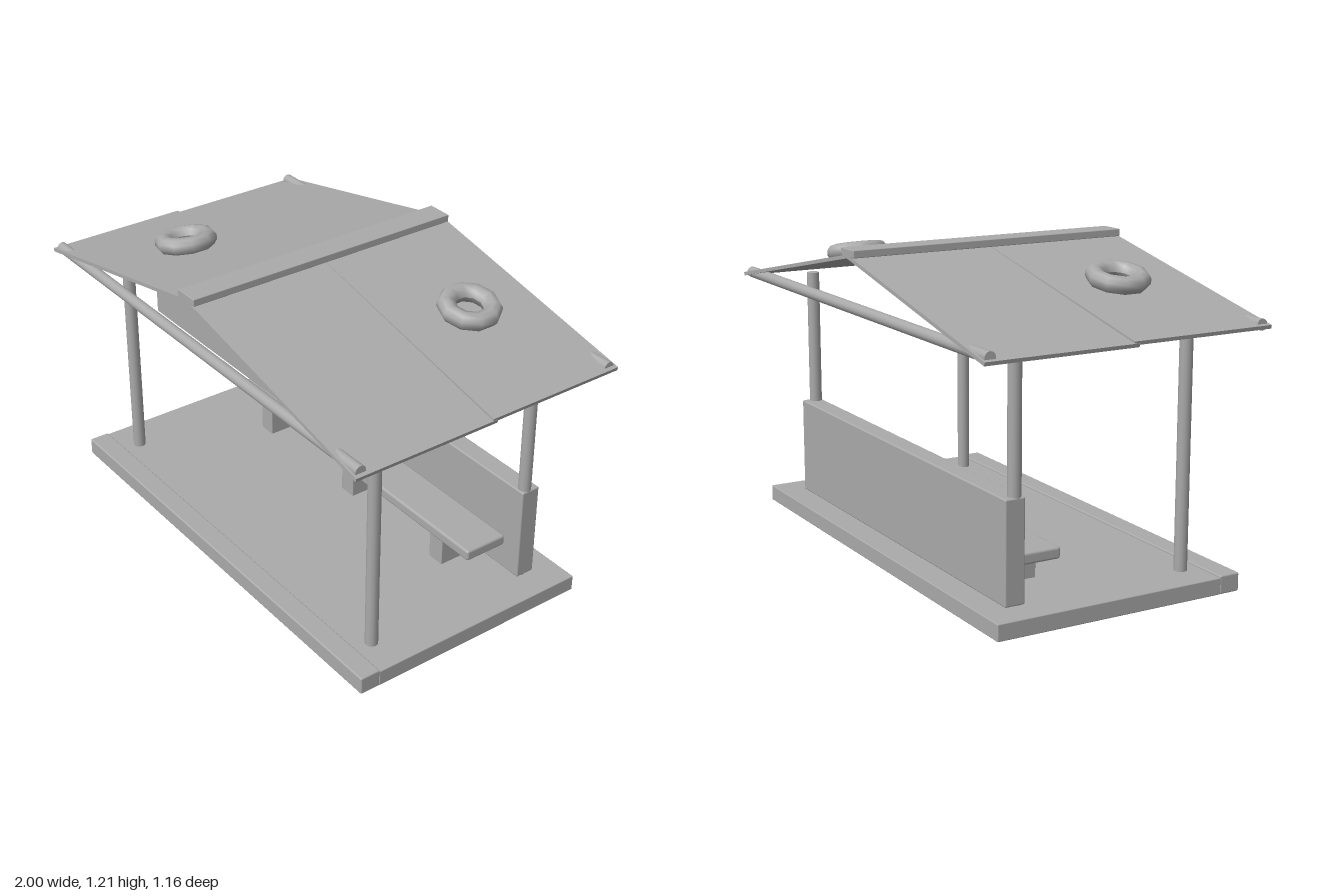
import * as THREE from 'three';
import { RoundedBoxGeometry } from 'three/addons/geometries/RoundedBoxGeometry.js';

export function createModel() {
  const model = new THREE.Group();
  model.name = 'shelter';
  const grey = new THREE.MeshStandardMaterial({ color: 0xaaaaaa });
  grey.name = 'plain grey';

  const add = (name, geometry, x = 0, y = 0, z = 0) => {
    const mesh = new THREE.Mesh(geometry, grey);
    mesh.name = name;
    mesh.position.set(x, y, z);
    model.add(mesh);
    return mesh;
  };
  // Block given by its limits on each axis, with softened edges
  const block = (name, x0, x1, y0, y1, z0, z1, r = 0.006) =>
    add(name, new RoundedBoxGeometry(x1 - x0, y1 - y0, z1 - z0, 2, r),
      (x0 + x1) / 2, (y0 + y1) / 2, (z0 + z1) / 2);

  // Floor and front kerb
  block('floor', -0.955, 0.955, 0, 0.064, -0.505, 0.43, 0.004);
  block('kerb', -0.955, 0.955, 0, 0.071, 0.428, 0.512);

  // Corner posts
  for (const x of [-0.81, 0.81]) {
    for (const z of [-0.355, 0.355]) {
      add('post', new THREE.CylinderGeometry(0.025, 0.025, 0.935, 12), x, 0.5275, z);
    }
  }

  // Low back wall
  block('backWall', -0.835, 0.835, 0.064, 0.452, -0.405, -0.325);

  // Bench on three legs
  block('benchSeat', -0.765, 0.76, 0.177, 0.222, -0.32, -0.135, 0.01);
  for (const x of [-0.575, 0, 0.565]) {
    block('benchLeg', x - 0.037, x + 0.037, 0.06, 0.18, -0.31, -0.145, 0.003);
  }

  // Sign board hung between the front posts
  add('signBoard', new THREE.BoxGeometry(1.01, 0.15, 0.025), 0, 0.94, 0.393);

  // Eave beams under the front and back gables
  for (const z of [-0.552, 0.552]) {
    const beam = add('eaveBeam', new THREE.CylinderGeometry(0.022, 0.022, 1.97, 12), 0, 0.988, z);
    beam.rotation.z = Math.PI / 2;
  }

  // Sloping roof sheet from the ridge to the eave on one side
  const roofPanel = (side, z0, z1, ridgeY, eaveY) => {
    const length = Math.hypot(1, ridgeY - eaveY);
    const panel = add('roofPanel', new THREE.BoxGeometry(length, 0.014, z1 - z0),
      side * 0.499, (ridgeY + eaveY) / 2, (z0 + z1) / 2);
    panel.rotation.z = -side * Math.atan2(ridgeY - eaveY, 1);
  };
  // The raised sheet of each pair overlaps the lower one
  roofPanel(1, -0.582, 0.0, 1.186, 0.98);
  roofPanel(1, -0.02, 0.582, 1.184, 0.972);
  roofPanel(-1, 0.0, 0.582, 1.186, 0.98);
  roofPanel(-1, -0.582, 0.02, 1.184, 0.972);

  // Ridge cap
  block('ridgeCap', -0.052, 0.052, 1.184, 1.213, -0.582, 0.582, 0.003);

  // Ring-shaped weights lying on the roof
  const profile = [
    [0.052, 0.035], [0.06, 0.01], [0.085, 0], [0.108, 0.006], [0.121, 0.025],
    [0.121, 0.045], [0.108, 0.063], [0.085, 0.068], [0.06, 0.058], [0.052, 0.035],
  ].map(([r, y]) => new THREE.Vector2(r, y));
  for (const [x, z] of [[0.52, -0.288], [-0.522, 0.25]]) {
    const ring = add('roofRing', new THREE.LatheGeometry(profile, 10), x, 1.083, z);
    ring.rotation.z = -Math.sign(x) * 0.204;
  }

  return model;
}
